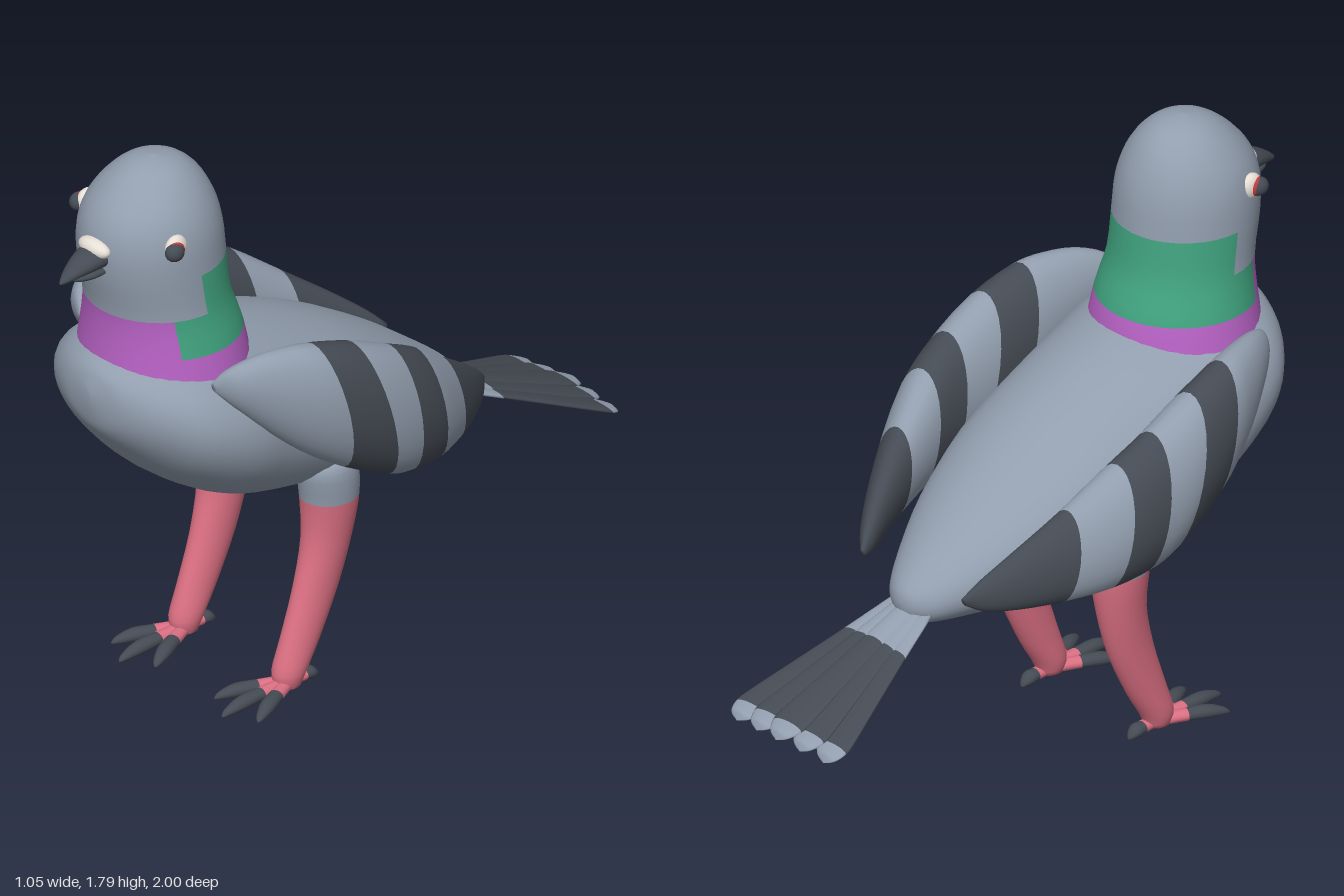
import * as THREE from 'three';

const mat = (name, color) => {
  const m = new THREE.MeshStandardMaterial({ color });
  m.name = name;
  return m;
};

export function createModel() {
  const grey = mat('plumageGrey', 0x929eae);
  const dark = mat('charcoal', 0x454b54);
  const pink = mat('legPink', 0xdc7083);
  const green = mat('neckGreen', 0x41a480);
  const purple = mat('neckPurple', 0xb762c4);
  const white = mat('ivory', 0xe6dfd6);
  const red = mat('irisRed', 0xc23a3a);
  const V = (x, y, z) => new THREE.Vector3(x, y, z);
  const bird = new THREE.Group();
  bird.name = 'bird';

  // Smooth closed skin over elliptical rings [centre, axisU, axisV];
  // paint(band, angle) chooses the material between two neighbouring rings.
  function loft(name, rings, paint, segs = 24, sub = 3, parent = bird) {
    const bands = rings.length - 1;
    const curves = [0, 1, 2].map(k =>
      new THREE.CatmullRomCurve3(rings.map(r => r[k]), false, 'catmullrom', 0.5));
    const rows = bands * sub, pos = [], buckets = new Map();
    for (let i = 0; i <= rows; i++) {
      const [c, u, v] = curves.map(q => q.getPoint(i / rows));
      for (let j = 0; j < segs; j++) {
        const a = j / segs * Math.PI * 2;
        pos.push(...c.clone().addScaledVector(u, Math.cos(a)).addScaledVector(v, Math.sin(a)).toArray());
      }
    }
    const mid = rings[bands >> 1];
    const along = rings[bands][0].clone().sub(rings[0][0]);
    const outward = mid[1].clone().cross(mid[2]).dot(along) > 0;
    const add = (m, ...ids) => {
      if (!buckets.has(m)) buckets.set(m, []);
      buckets.get(m).push(...(outward ? ids : ids.reverse()));
    };
    for (let i = 0; i < rows; i++) for (let j = 0; j < segs; j++) {
      const m = paint(Math.floor(i / sub), (j + 0.5) / segs * Math.PI * 2);
      const k = (j + 1) % segs, a = i * segs, b = a + segs;
      add(m, a + j, a + k, b + k);
      add(m, a + j, b + k, b + j);
    }
    // End caps
    const cap = (row, flip, m) => {
      for (let j = 1; j < segs - 1; j++) {
        if (flip) add(m, row + j + 1, row + j, row);
        else add(m, row, row + j, row + j + 1);
      }
    };
    cap(0, true, paint(0, 0));
    cap(rows * segs, false, paint(bands - 1, 0));
    const g = new THREE.BufferGeometry(), index = [], mats = [];
    for (const [m, ids] of buckets) {
      g.addGroup(index.length, ids.length, mats.length);
      mats.push(m);
      for (const id of ids) index.push(id);
    }
    g.setIndex(index);
    g.setAttribute('position', new THREE.Float32BufferAttribute(pos, 3));
    g.computeVertexNormals();
    const mesh = new THREE.Mesh(g, mats);
    mesh.name = name;
    parent.add(mesh);
    return mesh;
  }

  function ball(name, m, x, y, z, rx, ry, rz) {
    const mesh = new THREE.Mesh(new THREE.SphereGeometry(1, 20, 14), m);
    mesh.name = name;
    mesh.position.set(x, y, z);
    mesh.scale.set(rx, ry, rz);
    bird.add(mesh);
    return mesh;
  }

  // Body: z, top, bottom, half width
  loft('body', [
    [0.89, 1.11, 1.07, 0.012], [0.88, 1.145, 1.02, 0.07], [0.86, 1.18, 0.97, 0.14],
    [0.80, 1.21, 0.895, 0.24], [0.70, 1.23, 0.79, 0.325], [0.55, 1.225, 0.685, 0.36],
    [0.40, 1.19, 0.62, 0.345], [0.20, 1.12, 0.575, 0.325], [0, 1.03, 0.545, 0.30],
    [-0.2, 0.91, 0.545, 0.235], [-0.35, 0.80, 0.555, 0.16], [-0.45, 0.72, 0.57, 0.095],
    [-0.49, 0.68, 0.60, 0.045], [-0.50, 0.65, 0.63, 0.01],
  ].map(([z, t, b, w]) => [V(0, (t + b) / 2, z), V(w, 0, 0), V(0, (t - b) / 2, 0)]), () => grey, 36);

  // Neck and head: y, centre z, radius x, radius z
  loft('neckAndHead', [
    [1.08, 0.60, 0.27, 0.25], [1.23, 0.605, 0.24, 0.228], [1.35, 0.625, 0.215, 0.208],
    [1.48, 0.645, 0.21, 0.215], [1.58, 0.652, 0.203, 0.212], [1.66, 0.65, 0.178, 0.187],
    [1.73, 0.64, 0.13, 0.137], [1.775, 0.635, 0.072, 0.075], [1.79, 0.635, 0.006, 0.006],
  ].map(([y, z, rx, rz]) => [V(0, y, z), V(rx, 0, 0), V(0, 0, rz)]), (band, a) => {
    const s = Math.sin(a);
    if (band === 0) return purple;
    if (band === 1) return s > 0.5 ? purple : green;
    return band === 2 && s < 0 ? green : grey;
  }, 36);

  // Beak and cere
  loft('upperBeak', [
    [0.83, 1.545, 0.05, 0.035], [0.89, 1.543, 0.048, 0.034], [0.94, 1.53, 0.034, 0.025],
    [0.98, 1.513, 0.017, 0.013], [1.0, 1.503, 0.003, 0.003],
  ].map(([z, y, w, h]) => [V(0, y, z), V(w, 0, 0), V(0, h, 0)]), () => dark, 20);
  loft('lowerBeak', [
    [0.83, 1.507, 0.04, 0.018], [0.89, 1.502, 0.038, 0.017], [0.94, 1.502, 0.024, 0.011],
    [0.965, 1.505, 0.004, 0.004],
  ].map(([z, y, w, h]) => [V(0, y, z), V(w, 0, 0), V(0, h, 0)]), () => dark, 20);
  ball('cere', white, 0, 1.572, 0.865, 0.06, 0.028, 0.03);

  // Tail: five overlapping feathers
  for (let i = -2; i <= 2; i++) {
    const n = Math.abs(i);
    loft('tailFeather', [
      [0, 0.03], [0.296, 0.038], [0.6, 0.05], [0.85, 0.06], [0.926, 0.056], [0.985, 0.036], [1, 0.008],
    ].map(([t, w]) => [
      V(i * (0.025 + 0.062 * t), 0.63 - 0.22 * t - 0.006 * n, -0.45 - (0.547 - 0.008 * n) * t),
      V(w, 0, 0), V(0, 0.012, 0.005),
    ]), band => (band >= 1 && band <= 3 ? dark : grey), 16);
  }

  for (const s of [1, -1]) {
    const side = s > 0 ? 'left' : 'right';

    // Eye: rim, iris, pupil
    ball(side + 'EyeRim', white, s * 0.185, 1.592, 0.722, 0.024, 0.04, 0.038);
    ball(side + 'Iris', red, s * 0.194, 1.591, 0.733, 0.025, 0.03, 0.03);
    ball(side + 'Pupil', dark, s * 0.2, 1.59, 0.74, 0.026, 0.028, 0.03);

    // Wing: top z, top y, bottom z, bottom y, centre x, half thickness
    loft(side + 'Wing', [
      [0.665, 1.165, 0.66, 1.135, 0.28, 0.01], [0.635, 1.21, 0.62, 1.085, 0.315, 0.04],
      [0.56, 1.24, 0.53, 0.99, 0.35, 0.065], [0.47, 1.247, 0.42, 0.89, 0.38, 0.088],
      [0.39, 1.238, 0.29, 0.80, 0.40, 0.105], [0.25, 1.195, 0.13, 0.72, 0.413, 0.112],
      [0.10, 1.125, 0.04, 0.695, 0.41, 0.105], [-0.02, 1.06, -0.08, 0.68, 0.39, 0.097],
      [-0.17, 0.95, -0.21, 0.67, 0.34, 0.073], [-0.30, 0.855, -0.32, 0.667, 0.285, 0.05],
      [-0.40, 0.775, -0.40, 0.672, 0.235, 0.03], [-0.455, 0.72, -0.445, 0.695, 0.203, 0.008],
    ].map(([tz, ty, bz, by, x, w]) => [
      V(s * x, (ty + by) / 2, (tz + bz) / 2), V(s * w, 0, 0), V(0, (ty - by) / 2, (tz - bz) / 2),
    ]), band => (band === 4 || band === 6 || band >= 8 ? dark : grey), 28);

    // Leg: y, z, radius x, radius z, centre x
    loft(side + 'Leg', [
      [0.745, 0.17, 0.015, 0.015, 0.225], [0.73, 0.17, 0.055, 0.06, 0.225],
      [0.69, 0.172, 0.083, 0.093, 0.225], [0.585, 0.16, 0.083, 0.09, 0.22],
      [0.45, 0.168, 0.066, 0.08, 0.217], [0.30, 0.207, 0.053, 0.078, 0.215],
      [0.15, 0.268, 0.048, 0.068, 0.215], [0.06, 0.31, 0.047, 0.055, 0.215],
      [0.015, 0.315, 0.035, 0.04, 0.215],
    ].map(([y, z, rx, rz, x]) => [V(s * x, y, z), V(rx, 0, 0), V(0, 0, rz)]),
    band => (band < 3 ? grey : pink), 24);

    // Toes with dark claws: direction, length, claw start
    for (const [a, len, claw] of [[0, 0.26, 0.42], [0.42, 0.225, 0.42], [-0.42, 0.225, 0.42], [Math.PI, 0.11, 0.5]]) {
      const dx = Math.sin(a), dz = Math.cos(a);
      loft(side + 'Toe', [
        [0, 0.024, 0.02, 0.018], [claw, 0.024, 0.022, 0.018], [(1 + claw) / 2, 0.022, 0.023, 0.02],
        [0.93, 0.013, 0.013, 0.011], [1, 0.006, 0.003, 0.003],
      ].map(([t, y, w, h]) => [
        V(s * 0.215 + dx * len * t, y, 0.31 + dz * len * t), V(dz * w, 0, -dx * w), V(0, h, 0),
      ]), band => (band === 0 ? pink : dark), 14);
    }
  }
  return bird;
}
